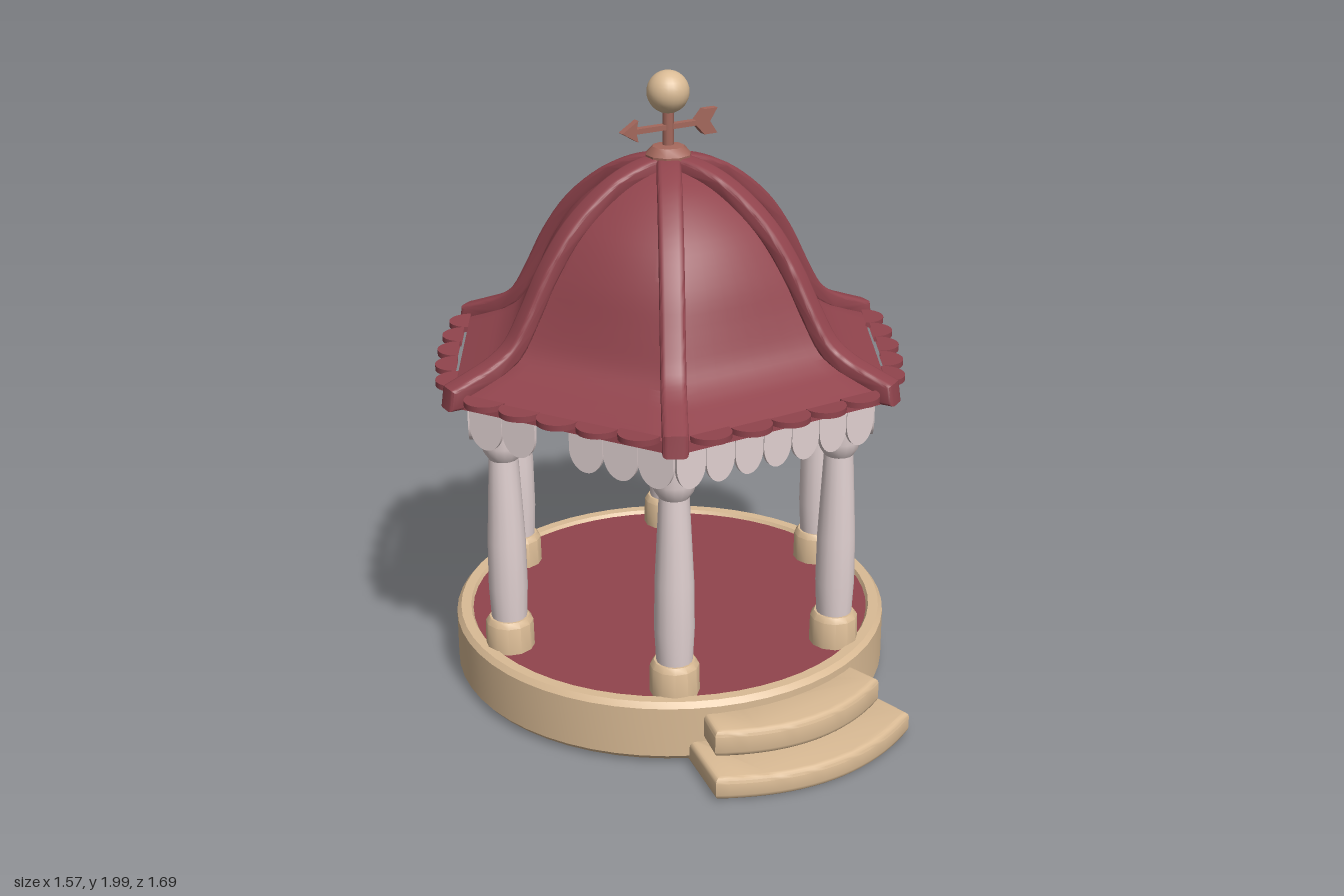
import * as THREE from 'three';
import { toCreasedNormals } from 'three/addons/utils/BufferGeometryUtils.js';

const mat = (name, color) => {
  const m = new THREE.MeshStandardMaterial({ color });
  m.name = name;
  return m;
};
const V = (pts) => pts.map(([x, y]) => new THREE.Vector2(x, y));
const SIXTH = Math.PI / 3;

export function createModel() {
  const red = mat('roofRed', 0x91444d);
  red.side = THREE.DoubleSide;
  const stone = mat('sandStone', 0xdabb95);
  const white = mat('paleWhite', 0xe0d0d0);
  white.side = THREE.DoubleSide;
  const copper = mat('copper', 0xa4685c);

  const model = new THREE.Group();
  const pavilion = new THREE.Group();
  pavilion.name = 'pavilion';
  pavilion.position.z = -0.11;
  model.add(pavilion);

  const add = (parent, name, geometry, material, x = 0, y = 0, z = 0) => {
    const mesh = new THREE.Mesh(geometry, material);
    mesh.name = name;
    mesh.position.set(x, y, z);
    parent.add(mesh);
    return mesh;
  };
  const lathe = (pts, n, crease = 0.6) => toCreasedNormals(new THREE.LatheGeometry(V(pts), n), crease);
  // group turned about the vertical axis, so its +z points outward
  const spoke = (name, angle) => {
    const g = new THREE.Group();
    g.name = name;
    g.rotation.y = angle;
    pavilion.add(g);
    return g;
  };

  // round stone plinth: thin wall, lip lying on the floor, open underneath
  add(pavilion, 'plinthRing', lathe([
    [0.69, 0.025], [0.7, 0.02], [0.712, 0.035], [0.712, 0.2], [0.698, 0.217],
    [0.665, 0.217], [0.655, 0.2], [0.69, 0.2], [0.69, 0.025],
  ], 56), stone);
  add(pavilion, 'floor', new THREE.CircleGeometry(0.695, 56).rotateX(-Math.PI / 2), red, 0, 0.205, 0);

  // curved entrance steps, their inner ends following the plinth wall
  const step = (name, half, side, front, innerHalf, top, height) => {
    const s = new THREE.Shape();
    s.moveTo(-innerHalf, 0.51);
    s.quadraticCurveTo(0, 0.64, innerHalf, 0.51);
    s.lineTo(half, side);
    s.quadraticCurveTo(0, 2 * front - side, -half, side);
    s.closePath();
    const b = 0.018;
    const geo = new THREE.ExtrudeGeometry(s, {
      depth: height - 2 * b, bevelThickness: b, bevelSize: b, bevelOffset: -b, bevelSegments: 3, curveSegments: 20,
    }).rotateX(Math.PI / 2);
    add(model, name, toCreasedNormals(geo, 0.7), stone, 0, top - b, 0);
  };
  step('lowerStep', 0.36, 0.74, 0.845, 0.315, 0.083, 0.075);
  step('upperStep', 0.305, 0.65, 0.738, 0.27, 0.177, 0.088);

  // six columns with stone feet
  const footGeo = lathe([[0, 0.195], [0.078, 0.195], [0.076, 0.295], [0.064, 0.312], [0, 0.312]], 12);
  const shaftGeo = lathe([
    [0.056, 0.3], [0.062, 0.42], [0.06, 0.58], [0.052, 0.74], [0.046, 0.86],
    [0.062, 0.885], [0.067, 0.91], [0.067, 1.02], [0, 1.02],
  ], 16);
  for (let i = 0; i < 6; i++) {
    const column = spoke('column', (i + 0.5) * SIXTH);
    add(column, 'columnFoot', footGeo, stone, 0, 0, 0.6);
    add(column, 'columnShaft', shaftGeo, white, 0, 0, 0.6);
  }

  // bell-shaped roof profile
  const profile = new THREE.SplineCurve(V([
    [0.77, 1.11], [0.69, 1.14], [0.62, 1.17], [0.555, 1.22], [0.495, 1.32], [0.43, 1.44],
    [0.34, 1.56], [0.22, 1.658], [0.11, 1.708], [0.0, 1.728],
  ])).getPoints(36);

  // roof: a lathe pressed into a hexagon, rounder toward the crown
  const roofPts = [new THREE.Vector2(0.765, 1.062), ...profile.map((p) => new THREE.Vector2(Math.max(p.x - 0.01, 0), p.y - 0.014))];
  const roofGeo = new THREE.LatheGeometry(roofPts, 48);
  const pos = roofGeo.attributes.position;
  for (let i = 0; i < pos.count; i++) {
    const x = pos.getX(i), y = pos.getY(i), z = pos.getZ(i);
    const a = ((Math.atan2(x, z) + SIXTH / 2 + 6 * SIXTH) % SIXTH) - SIXTH / 2;
    const hex = Math.cos(SIXTH / 2) / Math.cos(a);
    const blend = 1 - 0.5 * THREE.MathUtils.smoothstep(y, 1.1, 1.6);
    const k = 1 + (hex - 1) * blend;
    pos.setXYZ(i, x * k, y, z * k);
  }
  add(pavilion, 'roofShell', toCreasedNormals(roofGeo, 0.6), red);

  // six raised, rounded roof ribs over the corners
  const upper = profile.map((p, i) => {
    const a = profile[Math.max(i - 1, 0)], b = profile[Math.min(i + 1, profile.length - 1)];
    const n = new THREE.Vector2(b.y - a.y, a.x - b.x).normalize();
    return new THREE.Vector2(Math.max(p.x + n.x * 0.016, 0), p.y + n.y * 0.016);
  });
  const lower = profile.slice(3).map((p) => new THREE.Vector2(Math.max(p.x - 0.018, 0), p.y - 0.03)).reverse();
  const ribShape = new THREE.Shape([new THREE.Vector2(0.785, 1.062), ...upper, ...lower, new THREE.Vector2(0.715, 1.062)]);
  const ribGeo = toCreasedNormals(new THREE.ExtrudeGeometry(ribShape, {
    depth: 0.044, bevelThickness: 0.016, bevelSize: 0.012, bevelOffset: -0.01, bevelSegments: 3,
  }).translate(0, 0, -0.022), 0.8);
  for (let i = 0; i < 6; i++) add(spoke('roofRib', i * SIXTH), 'rib', ribGeo, red);

  // scalloped eave trim and hanging valance on each side
  const eaveGeo = new THREE.CylinderGeometry(0.066, 0.066, 0.018, 20, 1, false, -Math.PI / 2, Math.PI);
  const tabGeo = (w) => {
    const s = new THREE.Shape();
    s.moveTo(w / 2, 1.085);
    s.lineTo(-w / 2, 1.085);
    s.lineTo(-w / 2, 0.995);
    s.absellipse(0, 0.995, w / 2, 0.072, Math.PI, 2 * Math.PI, false);
    s.closePath();
    return new THREE.ExtrudeGeometry(s, { depth: 0.012, bevelEnabled: false, curveSegments: 14 });
  };
  for (let i = 0; i < 6; i++) {
    const side = spoke('eaveSide', i * SIXTH);
    // the trim bows out slightly at the middle of the side
    for (let j = -2; j <= 2; j++) add(side, 'eaveScallop', eaveGeo, red, j * 0.132, 1.1, 0.671 - 0.004 * j * j);
    const count = i % 3 === 0 ? 7 : 6;
    const pitch = 0.705 / count;
    const geo = tabGeo(pitch * 0.98);
    for (let j = 0; j < count; j++) {
      // each front flank has one open slot
      if ((i === 1 && j === 3) || (i === 5 && j === 2)) continue;
      add(side, 'valanceTab', geo, white, (j - (count - 1) / 2) * pitch, 0, 0.608);
    }
  }

  // crown collar, pole and ball
  add(pavilion, 'crownCollar', lathe([[0.07, 1.7], [0.072, 1.742], [0.05, 1.766], [0.02, 1.77], [0, 1.77]], 10), copper);
  add(pavilion, 'vanePole', new THREE.CylinderGeometry(0.018, 0.018, 0.15, 10), copper, 0, 1.82, 0);
  add(pavilion, 'crownBall', new THREE.SphereGeometry(0.066, 24, 16), stone, 0, 1.934, 0);

  // weather vane arrow
  const arrow = new THREE.Shape(V([
    [-0.168, 0], [-0.112, -0.034], [-0.118, -0.008], [0.095, -0.008], [0.125, -0.04], [0.172, -0.04],
    [0.145, 0], [0.172, 0.04], [0.125, 0.04], [0.095, 0.008], [-0.118, 0.008], [-0.112, 0.034],
  ]));
  add(pavilion, 'vaneArrow', new THREE.ExtrudeGeometry(arrow, { depth: 0.024, bevelEnabled: false })
    .translate(0, 0, -0.012), copper, 0, 1.826, 0);

  return model;
}
